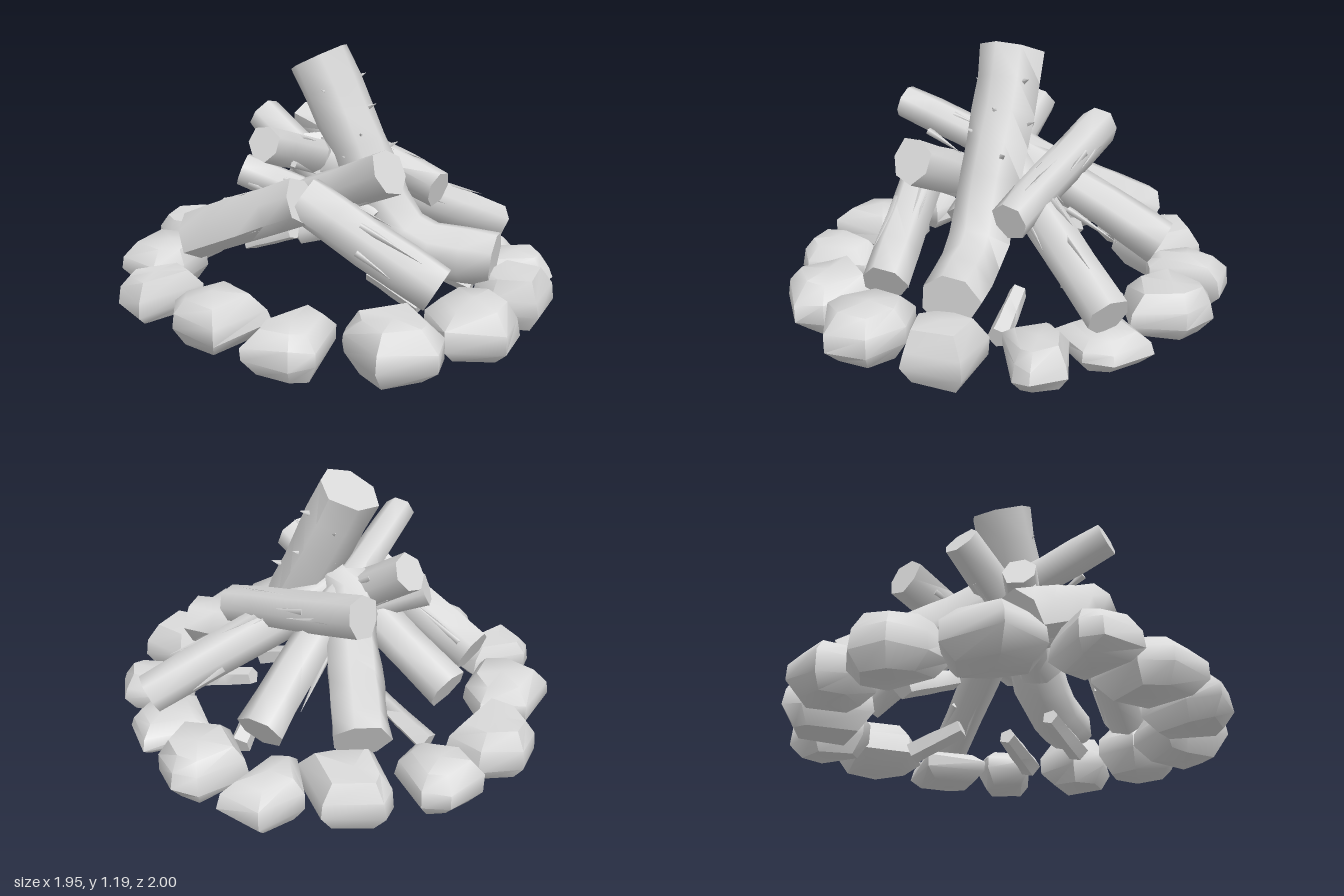
import * as THREE from 'three';
import { toCreasedNormals } from 'three/addons/utils/BufferGeometryUtils.js';

const V = (p) => new THREE.Vector3(...p);

let seed = 7;
function rand() {
  seed = (seed * 16807) % 2147483647;
  return seed / 2147483647;
}

function buildGeometry(verts, index, crease) {
  const geo = new THREE.BufferGeometry();
  geo.setAttribute('position', new THREE.Float32BufferAttribute(verts, 3));
  geo.setIndex(index);
  return toCreasedNormals(geo, crease);
}

// Boulder: a ground outline (clockwise from above) swelling at mid height
function stoneGeometry(outline, y0, y1) {
  const sides = outline.length;
  const cx = outline.reduce((sum, p) => sum + p[0], 0) / sides;
  const cz = outline.reduce((sum, p) => sum + p[1], 0) / sides;
  const verts = [];
  const index = [];
  const levels = [[0.05, 0.68], [0.36, 1], [0.68, 0.96], [0.96, 0.66]];
  levels.forEach(([h, k], i) => {
    outline.forEach(([x, z], j) => {
      const s = k === 1 ? 1 : k * (0.93 + 0.14 * rand());
      const y = y0 + (y1 - y0) * (h + 0.1 * (rand() - 0.5));
      verts.push(cx + (x - cx) * s, y, cz + (z - cz) * s);
      if (i < levels.length - 1) {
        const q = i * sides + j;
        const n = i * sides + (j + 1) % sides;
        index.push(n, q, q + sides, n, q + sides, n + sides);
      }
    });
  });
  // closed bottom and top
  const last = (levels.length - 1) * sides;
  const bottom = levels.length * sides;
  verts.push(cx, y0, cz, cx, y1, cz);
  for (let j = 0; j < sides; j++) {
    const n = (j + 1) % sides;
    index.push(bottom, j, n, bottom + 1, last + n, last + j);
  }
  return buildGeometry(verts, index, 0.85);
}

// Uneven log: rings of points swept along a path, with closed ends
function logGeometry(points, r0, r1, sides = 7) {
  const curve = new THREE.CatmullRomCurve3(points.map(V), false, 'centripetal');
  const rings = points.length > 2 ? 9 : 4;
  const lumps = Array.from({ length: sides }, () => 0.9 + 0.22 * rand());
  const verts = [];
  const index = [];
  for (let i = 0; i <= rings; i++) {
    const t = i / rings;
    const c = curve.getPointAt(t);
    const dir = curve.getTangentAt(t);
    const a = new THREE.Vector3(0, 1, 0).cross(dir).normalize();
    const b = dir.clone().cross(a);
    const r = THREE.MathUtils.lerp(r0, r1, t);
    for (let j = 0; j < sides; j++) {
      const ang = (j / sides) * Math.PI * 2;
      const k = r * lumps[j] * (0.95 + 0.1 * rand());
      const p = c.clone().addScaledVector(a, Math.cos(ang) * k).addScaledVector(b, Math.sin(ang) * k);
      verts.push(p.x, p.y, p.z);
      if (i < rings) {
        const q = i * sides + j;
        const n = i * sides + (j + 1) % sides;
        index.push(q, n, q + sides, n, n + sides, q + sides);
      }
    }
  }
  // end caps
  const last = rings * sides;
  for (let j = 1; j < sides - 1; j++) {
    index.push(0, j + 1, j, last, last + j, last + j + 1);
  }
  return buildGeometry(verts, index, 1.15);
}

// Bark slivers lying along a log
function addSlivers(parent, from, to, radius, count, mat) {
  const a = V(from);
  const axis = V(to).sub(a);
  const dir = axis.clone().normalize();
  const side = new THREE.Vector3(0, 1, 0).cross(dir).normalize();
  const up = dir.clone().cross(side);
  for (let i = 0; i < count; i++) {
    const ang = (i / count) * Math.PI * 2 + rand();
    const out = side.clone().multiplyScalar(Math.cos(ang)).addScaledVector(up, Math.sin(ang));
    const sliver = new THREE.Mesh(new THREE.ConeGeometry(0.018, 0.16 + 0.16 * rand(), 4), mat);
    sliver.name = 'barkSliver';
    sliver.position.copy(a).addScaledVector(axis, 0.2 + 0.6 * rand()).addScaledVector(out, radius * 0.95);
    const lean = dir.clone().addScaledVector(out, 0.1).normalize();
    sliver.quaternion.setFromUnitVectors(new THREE.Vector3(0, 1, 0), lean);
    parent.add(sliver);
  }
}

export function createModel() {
  const model = new THREE.Group();
  model.name = 'campfire';
  const grey = new THREE.MeshStandardMaterial({ color: 0xdadada });
  grey.name = 'light grey';

  // Ring of stones: outline in x and z, bottom, top
  const stones = new THREE.Group();
  stones.name = 'stoneRing';
  const addStone = (outline, y0, y1) => {
    const stone = new THREE.Mesh(stoneGeometry(outline, y0, y1), grey);
    stone.name = 'stone';
    stones.add(stone);
  };
  addStone([[-0.13, -1], [-0.03, -0.94], [-0.01, -0.7], [-0.13, -0.64], [-0.3, -0.77], [-0.31, -0.92]], 0.03, 0.25);
  addStone([[0.13, -0.97], [0.37, -0.89], [0.38, -0.6], [0.05, -0.6], [0.07, -0.9]], 0.02, 0.26);
  addStone([[0.61, -0.85], [0.74, -0.69], [0.46, -0.52], [0.37, -0.57], [0.4, -0.78]], 0.02, 0.24);
  addStone([[0.79, -0.59], [0.89, -0.53], [0.91, -0.37], [0.78, -0.18], [0.57, -0.29], [0.56, -0.53]], 0.03, 0.26);
  addStone([[0.65, -0.18], [0.95, -0.18], [0.97, 0.03], [0.88, 0.12], [0.66, 0.11]], 0.03, 0.18);
  addStone([[0.66, 0.13], [0.8, 0.13], [0.97, 0.24], [0.95, 0.4], [0.87, 0.43], [0.62, 0.33]], 0.03, 0.22);
  addStone([[0.67, 0.42], [0.81, 0.61], [0.62, 0.78], [0.45, 0.66], [0.46, 0.5]], 0.03, 0.27);
  addStone([[0.32, 0.57], [0.46, 0.68], [0.48, 0.86], [0.34, 0.98], [0.12, 0.88], [0.14, 0.66]], 0.02, 0.27);
  addStone([[-0.21, 0.63], [0.1, 0.64], [0.11, 0.9], [0.03, 1], [-0.21, 0.95], [-0.24, 0.72]], 0.01, 0.26);
  addStone([[-0.27, 0.48], [-0.22, 0.59], [-0.39, 0.8], [-0.5, 0.79], [-0.64, 0.64], [-0.55, 0.53]], 0.02, 0.24);
  addStone([[-0.52, 0.12], [-0.43, 0.41], [-0.72, 0.54], [-0.83, 0.32], [-0.79, 0.18]], 0.04, 0.27);
  addStone([[-0.92, -0.12], [-0.65, -0.12], [-0.62, 0.03], [-0.93, 0.14], [-0.98, -0.05]], 0.05, 0.25);
  addStone([[-0.69, -0.56], [-0.5, -0.48], [-0.51, -0.3], [-0.66, -0.15], [-0.8, -0.18], [-0.9, -0.39]], 0.05, 0.27);
  addStone([[-0.53, -0.85], [-0.34, -0.81], [-0.27, -0.63], [-0.55, -0.46], [-0.64, -0.58], [-0.64, -0.74]], 0.03, 0.27);
  model.add(stones);

  // Logs: path, start radius, end radius, number of bark slivers
  const logs = new THREE.Group();
  logs.name = 'logs';
  [
    ['tallLog', [[-0.02, 1.14, -0.065], [0.1, 0.78, 0.07], [0.2, 0.48, 0.2], [0.29, 0.35, 0.29], [0.55, 0.32, 0.53]], 0.138, 0.12, 0],
    ['frontLog', [[0.07, 0.74, 0.46], [-0.37, 0.27, -0.41]], 0.1, 0.1, 3],
    ['rightLog', [[-0.58, 0.32, -0.22], [-0.25, 0.6, 0.29]], 0.11, 0.1, 4],
    ['leftHighLog', [[0.06, 0.75, -0.5], [0.44, 0.54, 0.2]], 0.085, 0.08, 7],
    ['crossLog', [[-0.41, 0.86, 0.28], [0.03, 0.64, -0.11], [0.2, 0.54, -0.26], [0.51, 0.32, -0.53]], 0.075, 0.105, 8],
    ['leftLog', [[-0.05, 0.69, -0.02], [0.88, 0.26, 0.0]], 0.1, 0.095, 9],
    ['frontLowLog', [[-0.23, 0.6, 0.26], [0.2, 0.27, 0.66]], 0.1, 0.1, 7],
    ['backLog', [[-0.03, 0.7, -0.05], [0.05, 0.52, -0.33], [0.15, 0.32, -0.72]], 0.11, 0.125, 0],
    ['rearHighLog', [[-0.21, 0.83, -0.33], [0.1, 0.42, 0.22]], 0.08, 0.09, 4],
    ['innerLog', [[-0.38, 0.64, -0.12], [0.12, 0.42, 0.16]], 0.075, 0.08, 4],
  ].forEach(([name, path, r0, r1, slivers]) => {
    const log = new THREE.Mesh(logGeometry(path, r0, r1), grey);
    log.name = name;
    logs.add(log);
    addSlivers(logs, path[0], path[path.length - 1], (r0 + r1) / 2, slivers, grey);
  });
  // bark stubs on the tall log
  for (let i = 0; i < 10; i++) {
    const stub = new THREE.Mesh(new THREE.ConeGeometry(0.018, 0.06, 4), grey);
    stub.name = 'barkStub';
    const ang = i * 2.4;
    const t = 0.1 + 0.045 * i;
    stub.position.set(0.27 * t + Math.cos(ang) * 0.13, 1.12 - 0.8 * t, -0.07 + 0.32 * t + Math.sin(ang) * 0.13);
    stub.rotation.set(Math.sin(ang) * 1.2, 0, -Math.cos(ang) * 1.2);
    logs.add(stub);
  }
  model.add(logs);

  // Short kindling low inside the ring
  const kindling = new THREE.Group();
  kindling.name = 'kindling';
  [
    [[-0.22, 0.12, -0.56], [-0.08, 0.24, -0.3]],
    [[0.55, 0.1, -0.29], [0.4, 0.2, -0.1]],
    [[0.57, 0.1, 0.32], [0.38, 0.18, 0.12]],
    [[0.25, 0.1, 0.43], [0.1, 0.2, 0.22]],
  ].forEach((path) => {
    const twig = new THREE.Mesh(logGeometry(path, 0.05, 0.04, 5), grey);
    twig.name = 'twig';
    kindling.add(twig);
  });
  model.add(kindling);

  return model;
}
